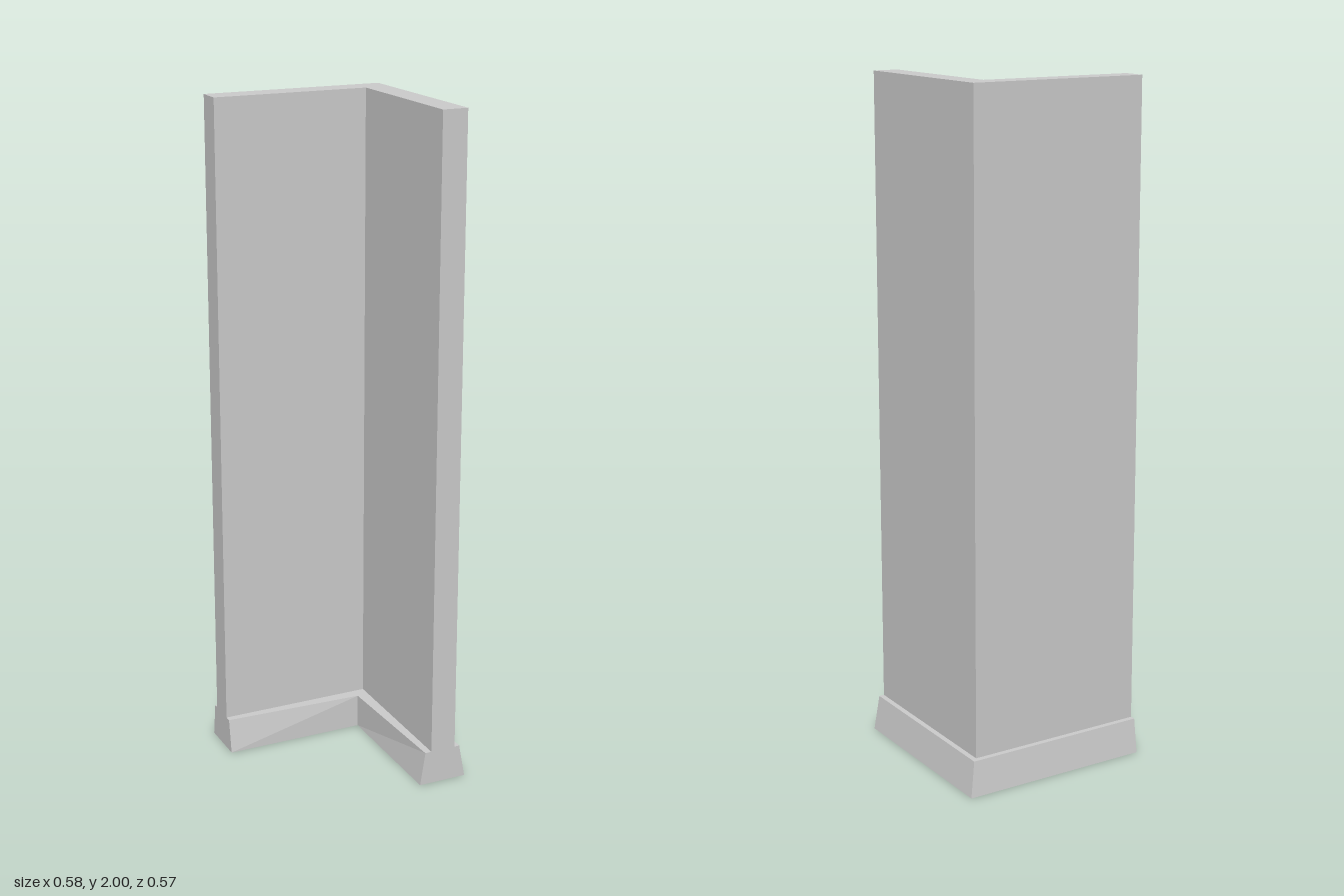
import * as THREE from 'three';

const END_X = -0.29, END_Z = 0.287;

// L-shaped ring: outer faces, then the inner faces at the free ends and at the corner
function ring(y, xOut, zOut, xEnd, zEnd, xCorner, zCorner) {
  return [
    [END_X, y, zOut], [xOut, y, zOut], [xOut, y, END_Z],
    [xEnd, y, END_Z], [xCorner, y, zCorner], [END_X, y, zEnd],
  ];
}

// Closed solid between a lower and an upper ring
function solid(name, low, high, material) {
  const pos = [];
  const quad = (a, b, c, d) => pos.push(...a, ...b, ...c, ...a, ...c, ...d);
  for (let i = 0; i < 6; i++) {
    const j = (i + 1) % 6;
    quad(low[j], low[i], high[i], high[j]);
  }
  for (const [a, b, c, d] of [[0, 5, 4, 1], [1, 4, 3, 2]]) {
    quad(high[a], high[b], high[c], high[d]);
    quad(low[d], low[c], low[b], low[a]);
  }
  const geometry = new THREE.BufferGeometry();
  geometry.setAttribute('position', new THREE.Float32BufferAttribute(pos, 3));
  geometry.computeVertexNormals();
  const mesh = new THREE.Mesh(geometry, material);
  mesh.name = name;
  return mesh;
}

export function createModel() {
  const group = new THREE.Group();
  group.name = 'cornerWall';
  const material = new THREE.MeshStandardMaterial({ color: 0xcccccc, flatShading: true });

  // Plinth: sloped outside, inner slope fading out towards the corner
  group.add(solid('plinth',
    ring(0, 0.29, -0.287, 0.141, -0.141, 0.141, -0.141),
    ring(0.103, 0.271, -0.272, 0.157, -0.158, 0.141, -0.141), material));

  // Tall wall, very slightly tapered on the outside
  group.add(solid('wall',
    ring(0.103, 0.255, -0.256, 0.177, -0.178, 0.177, -0.178),
    ring(2, 0.253, -0.253, 0.177, -0.178, 0.177, -0.178), material));

  return group;
}
